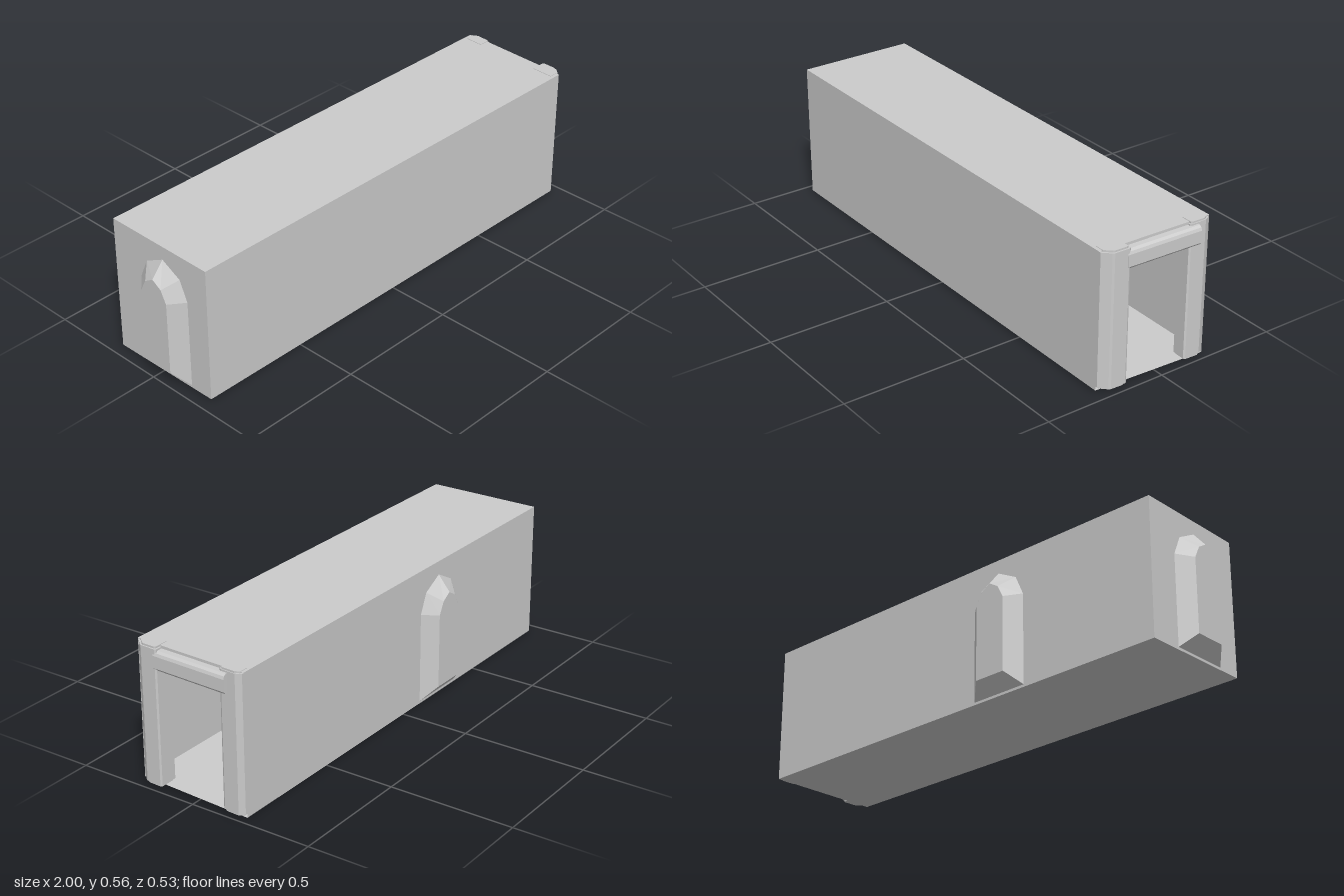
import * as THREE from 'three';

const H = 0.555, X0 = -0.95, X1 = 0.95, Z0 = -0.22, Z1 = 0.255;
const material = new THREE.MeshStandardMaterial({ color: 0xcccccc, flatShading: true, side: THREE.DoubleSide });

// Half of the pointed-arch outline; mirrored to get the whole loop
const mirrorArch = half => [...half, ...half.slice(0, -1).reverse().map(([u, v]) => [-u, v])];
const archOuter = mirrorArch([[-0.12, 0.01], [-0.12, 0.375], [-0.085, 0.455], [0, 0.5]]);
const archInner = mirrorArch([[-0.065, 0.065], [-0.065, 0.365], [-0.04, 0.415], [0, 0.44]]);

const toShape = pts => new THREE.Shape(pts.map(([a, b]) => new THREE.Vector2(a, b)));

// Slight skew shared by every part: the open end is cut askew and the floor drops to the back
function skew(geometry) {
  const p = geometry.attributes.position;
  for (let i = 0; i < p.count; i++) {
    const x = p.getX(i), y = p.getY(i), z = p.getZ(i);
    p.setXYZ(i,
      x + 0.015 * ((Z1 - z) / 0.475) * Math.max(0, (x - X0) / 1.9),
      y + 0.008 * ((z - Z0) / 0.475) * (1 - y / H),
      z + 0.005 * x);
  }
  geometry.computeVertexNormals();
  return geometry;
}

function addPart(group, name, geometry) {
  const mesh = new THREE.Mesh(skew(geometry), material);
  mesh.name = name;
  group.add(mesh);
}

// Flat panel in (u, v), with an optional arched opening, placed by a mapping to 3D
function panel(u0, u1, v0, v1, place, archAt) {
  const shape = toShape([[u0, v0], [u1, v0], [u1, v1], [u0, v1]]);
  if (archAt !== undefined) {
    shape.holes.push(toShape(archOuter.map(([u, v]) => [u + archAt, v])));
  }
  const geometry = new THREE.ShapeGeometry(shape);
  const p = geometry.attributes.position;
  for (let i = 0; i < p.count; i++) p.setXYZ(i, ...place(p.getX(i), p.getY(i), 0));
  return geometry;
}

// Niche: sloping reveals from the wall opening to a smaller arch set outward
function niche(archAt, place) {
  const v = [];
  const at = ([a, b], d) => place(a + archAt, b, d);
  const n = archOuter.length;
  for (let i = 0; i < n; i++) {
    const j = (i + 1) % n;
    const a = at(archOuter[i], 0), b = at(archOuter[j], 0);
    const c = at(archInner[j], 0.05), d = at(archInner[i], 0.05);
    v.push(...a, ...b, ...c, ...a, ...c, ...d);
  }
  for (let i = 1; i < n - 1; i++) {
    v.push(...at(archInner[0], 0.05), ...at(archInner[i], 0.05), ...at(archInner[i + 1], 0.05));
  }
  const geometry = new THREE.BufferGeometry();
  geometry.setAttribute('position', new THREE.Float32BufferAttribute(v, 3));
  return geometry;
}

// Upright post from an (x, z) plan
function post(plan, y0, y1) {
  const geometry = new THREE.ExtrudeGeometry(toShape(plan.map(([x, z]) => [x, -z])),
    { depth: y1 - y0, bevelEnabled: false });
  return geometry.rotateX(-Math.PI / 2).translate(0, y0, 0);
}

export function createModel() {
  const model = new THREE.Group();
  model.name = 'corridor';

  // Shell, open at the +x end
  const onBack = (u, v, d) => [u, v, Z0 - d];
  const onEnd = (u, v, d) => [X0 - d, v, u];
  addPart(model, 'floor', panel(X0, X1, Z0, Z1, (u, v) => [u, 0, v]));
  addPart(model, 'ceiling', panel(X0, X1, Z0, Z1, (u, v) => [u, H, v]));
  addPart(model, 'frontWall', panel(X0, X1, 0, H, (u, v) => [u, v, Z1]));
  addPart(model, 'backWall', panel(X0, X1, 0, H, onBack, -0.24));
  addPart(model, 'endWall', panel(Z0, Z1, 0, H, onEnd, 0.035));

  // Arched niches bulging outward
  addPart(model, 'backNiche', niche(-0.24, onBack));
  addPart(model, 'endNiche', niche(0.035, onEnd));

  // Doorway posts with chamfered outer corners and small end caps
  const posts = {
    front: [[0.91, 0.145], [0.979, 0.145], [0.983, 0.152], [0.983, 0.213], [0.979, 0.221], [0.952, 0.25], [0.91, 0.25]],
    back: [[0.91, -0.215], [0.952, -0.215], [0.961, -0.2], [0.965, -0.193], [0.965, -0.132], [0.961, -0.125], [0.91, -0.125]],
  };
  for (const [side, plan] of Object.entries(posts)) {
    addPart(model, side + 'Post', post(plan, 0.012, 0.55));
    const cx = 0.945, cz = side === 'front' ? 0.19 : -0.165;
    const capPlan = plan.map(([x, z]) => [cx + (x - cx) * 0.85, cz + (z - cz) * 0.85]);
    addPart(model, side + 'PostTopCap', post(capPlan, 0.55, 0.557));
    addPart(model, side + 'PostFootCap', post(capPlan, 0.004, 0.012));
  }

  // Lintel across the opening, rounded on its outer edges
  const profile = [[0.93, 0.468], [0.976, 0.468], [0.985, 0.478], [0.985, 0.525], [0.981, 0.536], [0.972, 0.543], [0.93, 0.546]];
  const lintel = new THREE.ExtrudeGeometry(toShape(profile), { depth: 0.318, bevelEnabled: false });
  addPart(model, 'lintel', lintel.translate(0, 0, -0.16));
  addPart(model, 'topRail', new THREE.BoxGeometry(0.03, 0.012, 0.29).translate(0.937, 0.549, 0.01));

  return model;
}
